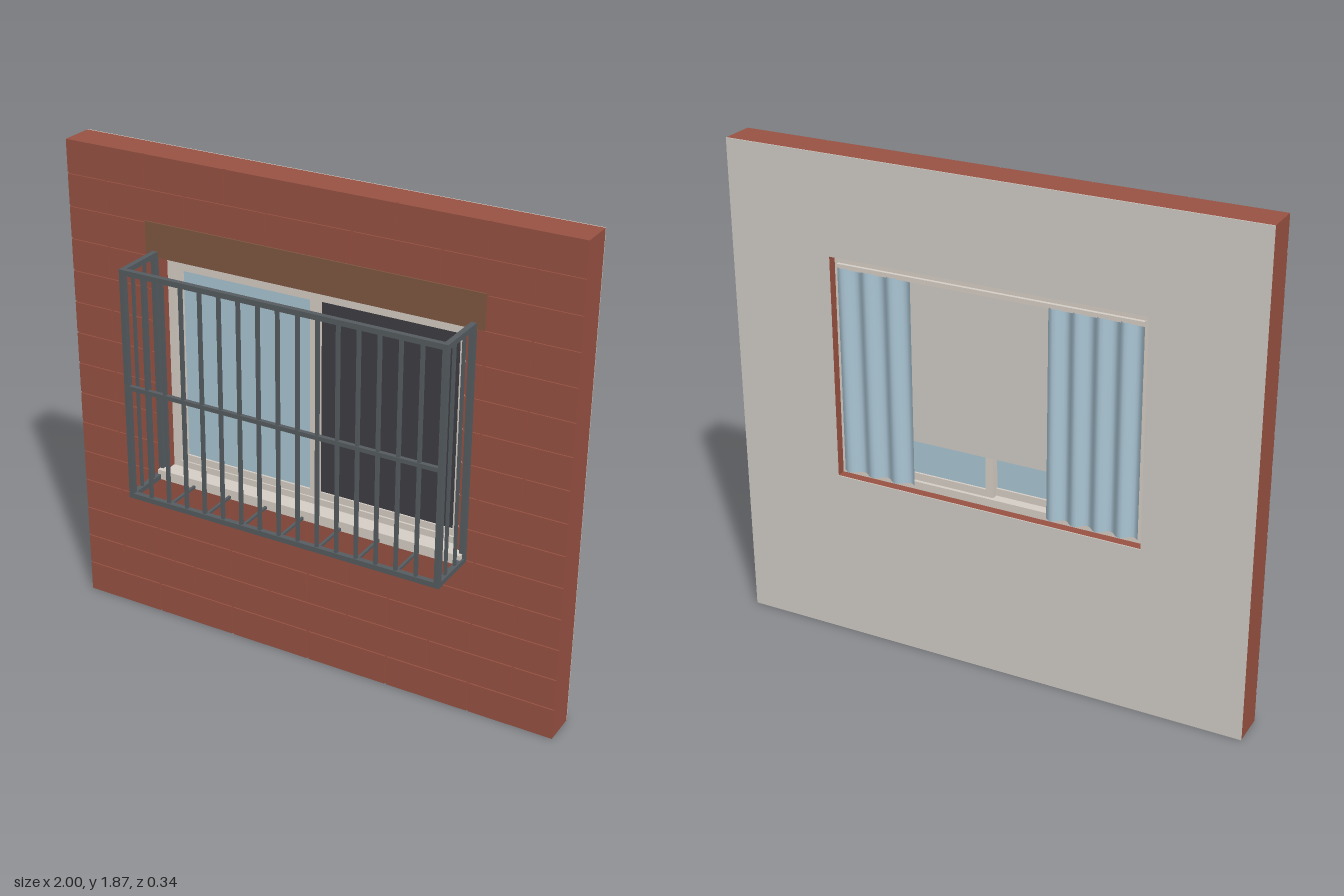
import * as THREE from 'three';
import { mergeGeometries } from 'three/addons/utils/BufferGeometryUtils.js';

const mat = (name, color, side = THREE.FrontSide) =>
  Object.assign(new THREE.MeshStandardMaterial({ color, side }), { name });

// Box given by its limits
function span(x0, x1, y0, y1, z0, z1) {
  return new THREE.BoxGeometry(x1 - x0, y1 - y0, z1 - z0)
    .translate((x0 + x1) / 2, (y0 + y1) / 2, (z0 + z1) / 2);
}

// Rectangular slab with a rectangular opening; each rect is [x0, x1, y0, y1]
function ring(outer, inner, z0, z1) {
  const corners = ([a, b, c, d]) => [[a, c], [b, c], [b, d], [a, d]].map(p => new THREE.Vector2(...p));
  const shape = new THREE.Shape(corners(outer));
  shape.holes.push(new THREE.Path(corners(inner).reverse()));
  return new THREE.ExtrudeGeometry(shape, { depth: z1 - z0, bevelEnabled: false }).translate(0, 0, z0);
}

export function createModel() {
  const model = new THREE.Group();
  const brick = mat('brick', 0x985242);
  const plaster = mat('plaster', 0xd0cbc4);
  const frameMat = mat('windowFrame', 0xd6cec5);
  const glass = mat('glass', 0xaac5d2);
  const fabric = mat('curtainFabric', 0xa9c4d3, THREE.DoubleSide);
  const screenMat = mat('screenMesh', 0x3d3d44);
  const steel = mat('steel', 0x555c60);
  const wood = mat('lintelBrown', 0x7f5842);

  const add = (name, material, ...geos) => {
    const mesh = new THREE.Mesh(geos.length > 1 ? mergeGeometries(geos) : geos[0], material);
    mesh.name = name;
    model.add(mesh);
    return mesh;
  };

  const H = 1.87, front = -0.04, back = -0.173;
  const wall = [-1, 1, 0, H], hole = [-0.6, 0.6, 0.65, 1.5];

  // Wall core and inner plaster
  add('wallCore', brick, ring(wall, hole, back + 0.004, front - 0.005));
  add('innerPlaster', plaster, ring(wall, hole, back, back + 0.004));

  // Brick courses in running bond, cut around the opening
  const bricks = [], rows = 15, rowH = H / rows, len = 1 / 3, gap = 0.004;
  const put = (x0, x1, y0, y1) => {
    if (x1 - x0 > 0.002 && y1 - y0 > 0.002) bricks.push(span(x0, x1, y0, y1, front - 0.005, front));
  };
  for (let r = 0; r < rows; r++) {
    const y0 = r ? r * rowH + gap : 0, y1 = r < rows - 1 ? (r + 1) * rowH - gap : H;
    for (let i = 0; i < 7; i++) {
      const start = -1 + (i - (r % 2) / 2) * len;
      const x0 = Math.max(-1, start + (start > -1 ? gap : 0));
      const x1 = Math.min(1, start + len - (start + len < 0.99 ? gap : 0));
      if (x1 <= x0) continue;
      if (y1 <= hole[2] || y0 >= hole[3]) { put(x0, x1, y0, y1); continue; }
      put(x0, Math.min(x1, hole[0]), y0, y1);
      put(Math.max(x0, hole[1]), x1, y0, y1);
      const m0 = Math.max(x0, hole[0]), m1 = Math.min(x1, hole[1]);
      put(m0, m1, y0, hole[2]);
      put(m0, m1, hole[3], y1);
    }
  }
  add('brickCourses', brick, ...bricks);

  // Lintel plate and sill
  add('lintel', wood, span(-0.667, 0.667, 1.495, 1.625, front, front + 0.005));
  add('sill', frameMat, span(-0.63, 0.63, 0.617, 0.655, front, -0.003),
    span(-0.6, 0.6, 0.64, 0.655, -0.08, front));

  // Window frame with two sliding sashes
  add('windowFrame', frameMat, ring(hole, [-0.57, 0.57, 0.68, 1.47], -0.135, -0.07));
  add('frontSash', frameMat, ring([-0.57, 0.012, 0.68, 1.47], [-0.54, -0.012, 0.708, 1.447], -0.098, -0.076));
  add('rearSash', frameMat, ring([-0.012, 0.57, 0.68, 1.47], [0.018, 0.54, 0.708, 1.447], -0.122, -0.1));
  add('frontPane', glass, span(-0.54, -0.012, 0.708, 1.447, -0.09, -0.084));
  add('rearPane', glass, span(0.018, 0.54, 0.708, 1.447, -0.114, -0.108));

  // Insect screen in front of the rear sash
  add('screenFrame', frameMat, ring([0.012, 0.57, 0.68, 1.47], [0.03, 0.562, 0.706, 1.448], -0.096, -0.078));
  add('insectScreen', screenMat, span(0.03, 0.562, 0.706, 1.448, -0.09, -0.084));

  // Roller blind and curtain rail on the inside
  add('rollerBlind', plaster, span(-0.5, 0.5, 0.84, 1.465, -0.132, -0.128));
  add('curtainRail', frameMat, span(-0.58, 0.58, 1.455, 1.472, -0.156, -0.143));

  // Pleated curtains
  const curtain = (name, x0, x1, folds) => {
    const geo = new THREE.PlaneGeometry(x1 - x0, 0.79, folds * 8, 1)
      .translate((x0 + x1) / 2, 1.065, 0);
    const p = geo.attributes.position;
    for (let i = 0; i < p.count; i++) {
      const t = (p.getX(i) - x0) / (x1 - x0);
      p.setZ(i, -0.152 + 0.014 * Math.sin(t * folds * Math.PI * 2));
    }
    geo.computeVertexNormals();
    add(name, fabric, geo);
  };
  curtain('leftCurtain', 0.29, 0.58, 3);
  curtain('rightCurtain', -0.58, -0.235, 4);

  // Security cage: rails, posts and bars
  const X = 0.637, Y0 = 0.617, Y1 = 1.518, Z = 0.172, T = 0.02;
  const rails = [[Y0, Y0 + T], [Y1 - T, Y1]].map(([a, b]) => span(-X, X, a, b, Z - T, Z));
  rails.push(span(-X, X, 1.057, 1.073, Z - 0.018, Z - 0.002));
  const bars = [];
  for (const s of [-1, 1]) {
    const a = s < 0 ? -X : X - T, b = a + T, c = (a + b) / 2;
    rails.push(span(a, b, Y0, Y1, Z - T, Z), span(a, b, Y0, Y1, front, front + T));
    for (const y of [Y0, Y1 - T]) rails.push(span(a, b, y, y + T, front, Z));
    for (const z of [0.033, 0.104]) bars.push(span(c - 0.005, c + 0.005, Y0, Y1 - 0.005, z - 0.005, z + 0.005));
  }
  for (let k = -7; k <= 7; k++) {
    const x = k * 0.0777;
    bars.push(span(x - 0.006, x + 0.006, Y0 + 0.005, Y1 - 0.005, Z - 0.016, Z - 0.004));
    // Floor bars run back to the wall under every second upright
    if (k % 2 === 0) bars.push(span(x - 0.005, x + 0.005, Y0 + 0.004, Y0 + 0.014, front, Z - T));
  }
  add('cageFrame', steel, ...rails);
  add('cageBars', steel, ...bars);

  return model;
}
